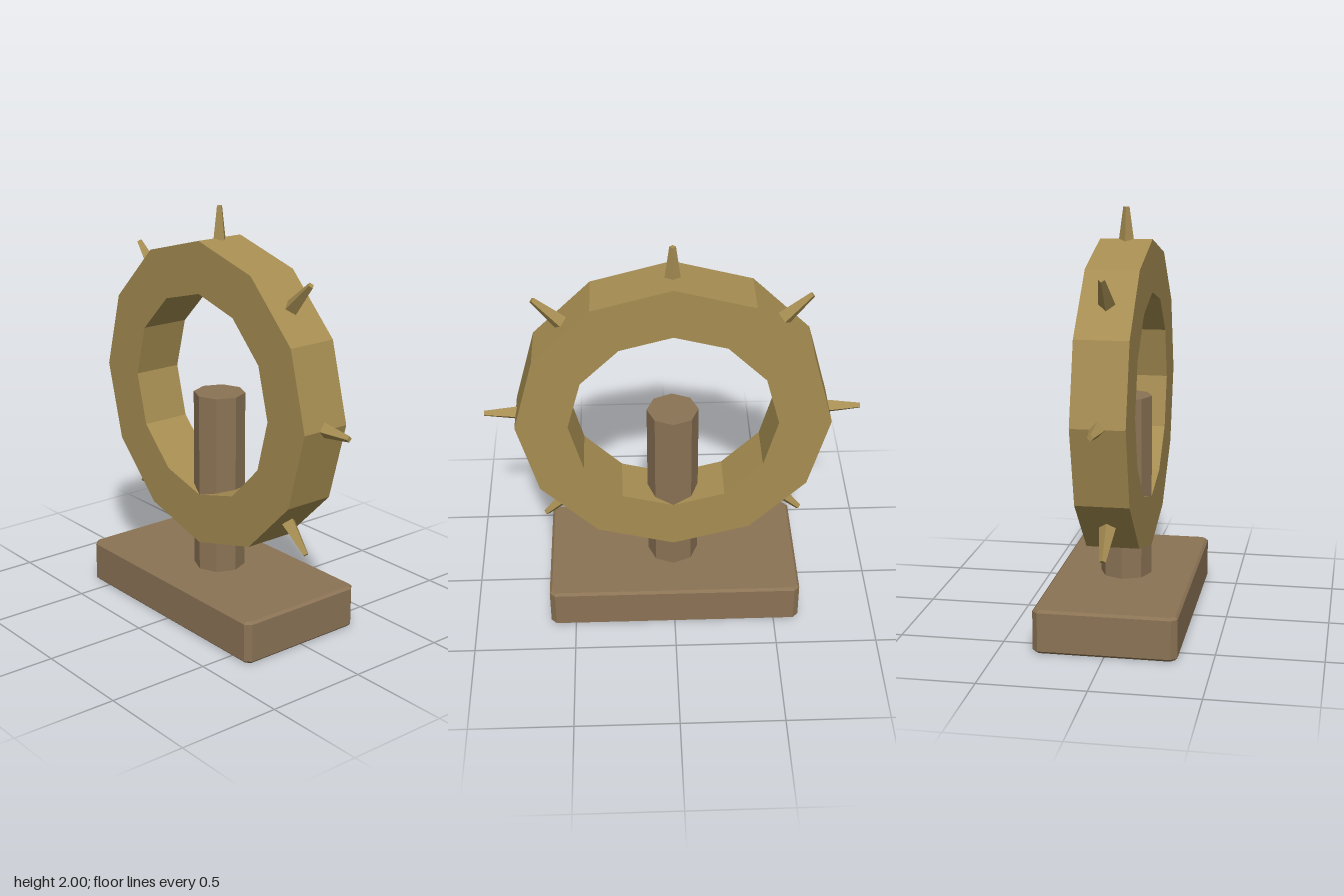
import * as THREE from 'three';

const wood = new THREE.MeshStandardMaterial({ color: 0x8b7355, flatShading: true });
const brass = new THREE.MeshStandardMaterial({ color: 0xa68d52, flatShading: true });

function part(name, geometry, material) {
  const mesh = new THREE.Mesh(geometry, material);
  mesh.name = name;
  return mesh;
}

// Closed outline of a regular polygon
function polygon(Type, radius, sides) {
  const points = [];
  for (let i = 0; i < sides; i++) {
    const a = (i / sides) * Math.PI * 2;
    points.push(new THREE.Vector2(Math.cos(a) * radius, Math.sin(a) * radius));
  }
  return new Type(points);
}

export function createModel() {
  const model = new THREE.Group();

  // Bevelled plinth: a rectangle with cut corners, extruded upwards
  const bevel = 0.012, height = 0.21, cut = 0.02;
  const w = 0.625 - bevel, d = 0.337 - bevel;
  const outline = new THREE.Shape([
    [w - cut, -d], [w, -d + cut], [w, d - cut], [w - cut, d],
    [-w + cut, d], [-w, d - cut], [-w, -d + cut], [-w + cut, -d],
  ].map(([x, y]) => new THREE.Vector2(x, y)));
  const plinth = new THREE.ExtrudeGeometry(outline, {
    depth: height - 2 * bevel, bevelThickness: bevel, bevelSize: bevel, bevelSegments: 1,
  });
  plinth.rotateX(-Math.PI / 2).translate(0, bevel, 0);
  model.add(part('base', plinth, wood));

  // Octagonal post
  const post = part('post', new THREE.CylinderGeometry(0.125, 0.125, 0.95, 8), wood);
  post.position.y = 0.625;
  model.add(post);

  // Twelve-sided wheel with spikes around its rim
  const wheel = new THREE.Group();
  wheel.name = 'wheel';
  wheel.position.y = 1.1;
  const shape = polygon(THREE.Shape, 0.75, 12);
  shape.holes.push(polygon(THREE.Path, 0.5, 12));
  const rim = new THREE.ExtrudeGeometry(shape, { depth: 0.25, bevelEnabled: false });
  rim.translate(0, 0, -0.125);
  wheel.add(part('rim', rim, brass));

  const spike = new THREE.CylinderGeometry(0.015, 0.042, 0.2, 4).translate(0, 0.8, 0);
  for (let i = 0; i < 8; i++) {
    const mesh = part('spike', spike, brass);
    mesh.rotation.z = (i * Math.PI) / 4;
    wheel.add(mesh);
  }
  model.add(wheel);
  return model;
}
